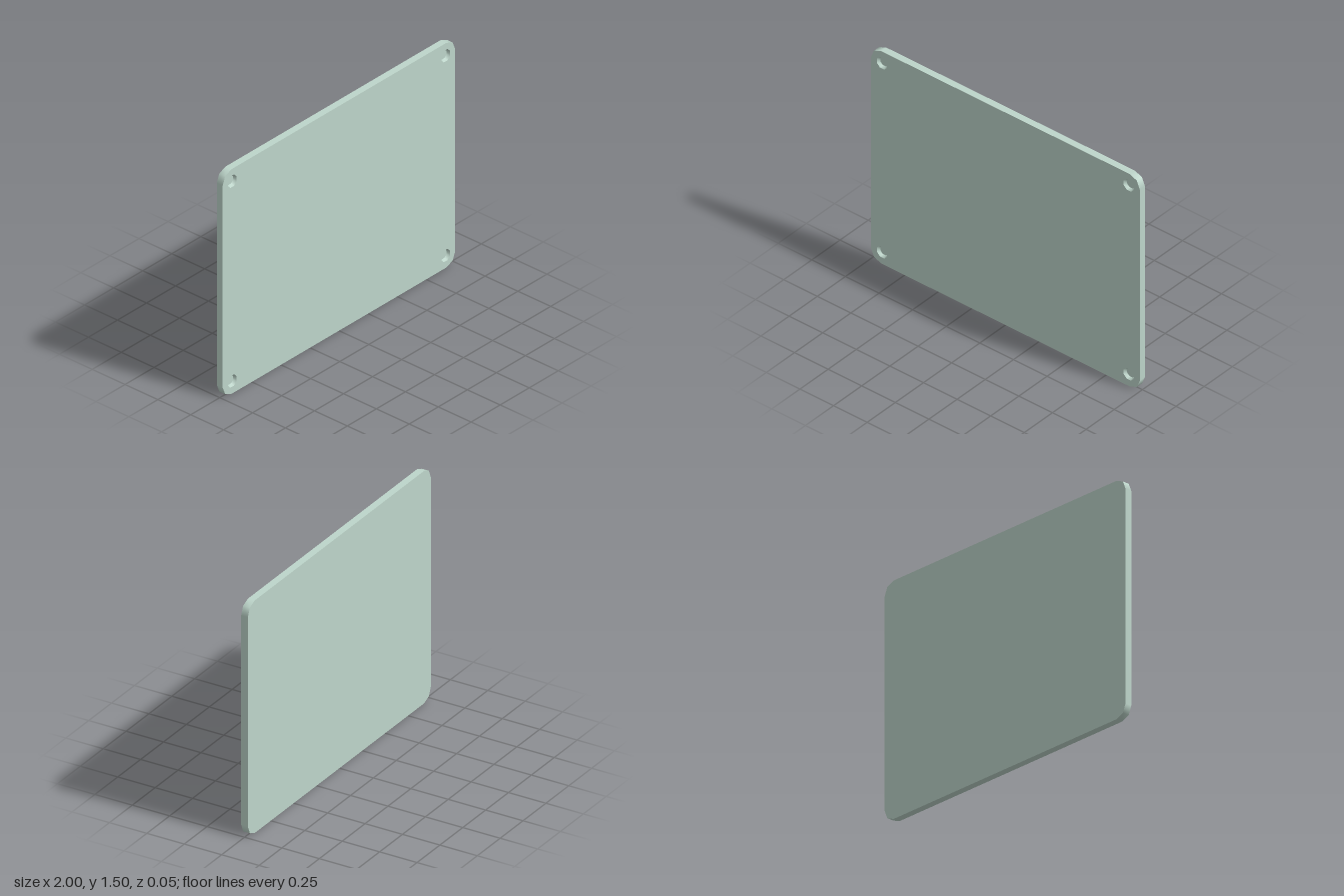
import * as THREE from 'three';

const W = 2, H = 1.5, T = 0.045;          // plate size
const CORNER = 0.075;                     // corner radius
const HOLE_X = 0.918, HOLE_Y = 0.667;     // recess offsets from the plate centre
const R_OUT = 0.041, R_IN = 0.031, DEPTH = 0.02;

// Counter-clockwise loop of points on a circle arc
function arc(cx, cy, r, start, sweep, steps, count) {
  return Array.from({ length: count }, (_, i) => {
    const a = start + (sweep * i) / steps;
    return new THREE.Vector2(cx + r * Math.cos(a), cy + r * Math.sin(a));
  });
}

// Octagon with flats facing up, down, left and right
const octagon = (x, y, r) => arc(x, y, r, Math.PI / 8, Math.PI * 2, 8, 8);

// Rectangle with two-step rounded corners
function plateOutline() {
  const x = W / 2 - CORNER, y = H / 2 - CORNER;
  return [[x, y], [-x, y], [-x, -y], [x, -y]].flatMap(([cx, cy], i) =>
    arc(cx, cy, CORNER, (i * Math.PI) / 2, Math.PI / 2, 2, 3));
}

// Smooth wall joining two loops of equal length
function wall(loopA, zA, loopB, zB) {
  const n = loopA.length, pos = [], index = [];
  loopA.forEach((p) => pos.push(p.x, p.y, zA));
  loopB.forEach((p) => pos.push(p.x, p.y, zB));
  for (let i = 0; i < n; i++) {
    const j = (i + 1) % n;
    index.push(i, j, n + j, i, n + j, n + i);
  }
  const g = new THREE.BufferGeometry();
  g.setAttribute('position', new THREE.Float32BufferAttribute(pos, 3));
  g.setIndex(index);
  g.computeVertexNormals();
  return g;
}

export function createModel() {
  const model = new THREE.Group();
  model.name = 'panel';
  const material = new THREE.MeshStandardMaterial({ color: 0xbdd5ca });
  const add = (parent, name, geometry) => {
    const mesh = new THREE.Mesh(geometry, material);
    mesh.name = name;
    parent.add(mesh);
    return mesh;
  };

  const outline = plateOutline();
  const centres = [-1, 1].flatMap((sx) => [-1, 1].map((sy) => [sx * HOLE_X, sy * HOLE_Y]));

  // Front face with four openings
  const front = new THREE.Shape(outline);
  centres.forEach(([x, y]) => front.holes.push(new THREE.Path(octagon(x, y, R_OUT))));
  add(model, 'frontFace', new THREE.ShapeGeometry(front)).position.z = T / 2;

  // Plain back face
  const back = add(model, 'backFace', new THREE.ShapeGeometry(new THREE.Shape(outline)));
  back.rotation.y = Math.PI;
  back.position.z = -T / 2;

  // Outer rim
  add(model, 'rim', wall(outline, -T / 2, outline, T / 2));

  // Tapered blind recesses in the corners
  centres.forEach(([x, y]) => {
    const recess = new THREE.Group();
    recess.name = 'cornerRecess';
    recess.position.set(x, y, T / 2);
    add(recess, 'recessWall', wall(octagon(0, 0, R_OUT), 0, octagon(0, 0, R_IN), -DEPTH));
    add(recess, 'recessFloor', new THREE.CircleGeometry(R_IN, 8, Math.PI / 8)).position.z = -DEPTH;
    model.add(recess);
  });

  model.position.y = H / 2;
  const root = new THREE.Group();
  root.name = 'mountingPlate';
  root.add(model);
  return root;
}
